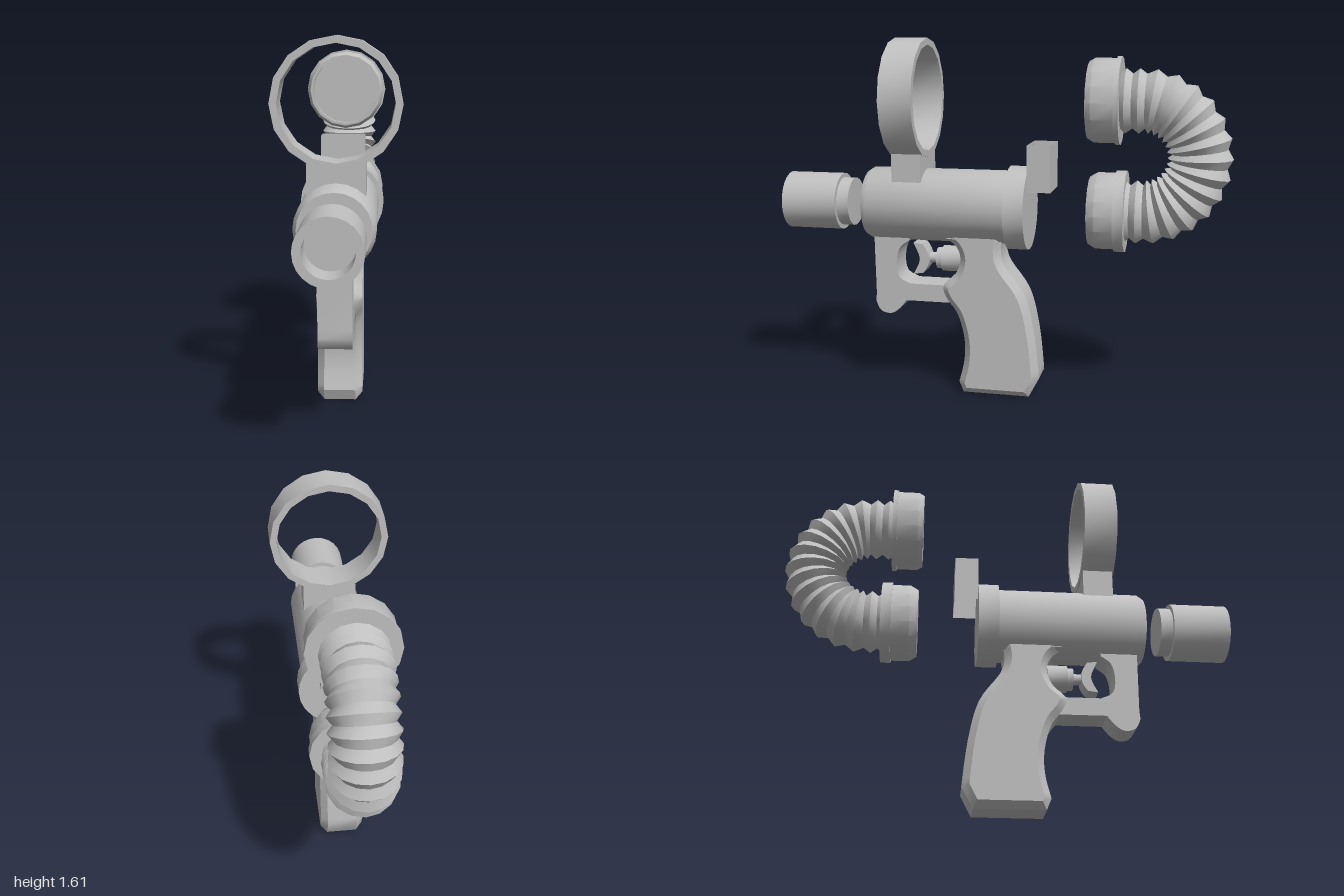
import * as THREE from 'three';
import { toCreasedNormals } from 'three/addons/utils/BufferGeometryUtils.js';

const LOW = 0.86, HIGH = 1.34; // heights of the barrel axis and the ring axis

export function createModel() {
  const model = new THREE.Group();
  const grey = new THREE.MeshStandardMaterial({ color: 0xbfbfbf, side: THREE.DoubleSide });
  grey.name = 'grey';

  const add = (name, geometry) => {
    const mesh = new THREE.Mesh(toCreasedNormals(geometry, 0.6), grey);
    mesh.name = name;
    model.add(mesh);
    return mesh;
  };

  // Turned part along z: profile is [radius, z], from back to front
  const turned = (name, y, profile, sides) => {
    const g = new THREE.LatheGeometry(profile.map(([r, z]) => new THREE.Vector2(r, z)), sides);
    g.rotateX(Math.PI / 2).translate(0, y, 0);
    return add(name, g);
  };

  // Side outline [z, y] extruded across x, with optional chamfer
  const slab = (name, outline, halfWidth, chamfer = 0) => {
    const shape = new THREE.Shape(outline.map(([z, y]) => new THREE.Vector2(z, y)));
    const depth = 2 * (halfWidth - chamfer);
    const g = new THREE.ExtrudeGeometry(shape, {
      depth, bevelEnabled: chamfer > 0, bevelThickness: chamfer,
      bevelSize: chamfer, bevelOffset: -chamfer, bevelSegments: 1,
    });
    g.translate(0, 0, -depth / 2).rotateY(-Math.PI / 2);
    return add(name, g);
  };

  // Four-walled box, open above and below
  const openBox = (name, w, y0, y1, z0, z1) => {
    const g = new THREE.CylinderGeometry(Math.SQRT1_2, Math.SQRT1_2, 1, 4, 1, true);
    g.rotateY(Math.PI / 4).scale(w, y1 - y0, z1 - z0).translate(0, (y0 + y1) / 2, (z0 + z1) / 2);
    return add(name, g);
  };

  // Smooth run of points through a few outline points
  const smooth = (points, n) => new THREE.SplineCurve(points.map(([z, y]) => new THREE.Vector2(z, y)))
    .getPoints(n).map((p) => [p.x, p.y]);

  // Barrel, rear collar and hollow nozzle
  turned('barrel', LOW, [[0, -0.05], [0.165, -0.05], [0.165, 0.59], [0.15, 0.615], [0, 0.615]], 24);
  turned('rearCollar', LOW, [[0, -0.13], [0.187, -0.13], [0.187, -0.04], [0, -0.04]], 24);
  turned('nozzle', LOW, [[0, 0.69], [0.11, 0.69], [0.11, 0.745], [0.13, 0.745], [0.13, 1],
    [0.097, 1], [0.097, 0.87], [0, 0.87]], 24);

  // Ring on its stand, and the block behind the collar
  turned('ring', HIGH, [[0.235, 0.337], [0.265, 0.337], [0.265, 0.485], [0.235, 0.485], [0.235, 0.337]], 16);
  openBox('ringStand', 0.24, 0.975, 1.1, 0.342, 0.476);
  openBox('rearBlock', 0.2, 0.945, 1.15, -0.235, -0.13);

  // Grip
  slab('grip', [
    ...smooth([[-0.02, 0.735], [-0.01, 0.67], [-0.03, 0.6], [-0.12, 0.47], [-0.165, 0.29], [-0.187, 0.09]], 20),
    [-0.14, 0], [0.165, 0],
    ...smooth([[0.185, 0.05], [0.16, 0.155], [0.16, 0.26], [0.19, 0.37], [0.24, 0.44], [0.255, 0.5],
      [0.2, 0.555], [0.175, 0.625], [0.2, 0.69], [0.275, 0.735]], 32),
  ], 0.1, 0.03);

  // Trigger guard
  slab('triggerGuard', [
    [0.58, 0.73], [0.575, 0.45],
    ...smooth([[0.578, 0.41], [0.556, 0.366], [0.51, 0.354], [0.47, 0.375], [0.433, 0.42]], 10),
    [0.2, 0.42], [0.2, 0.5],
    ...smooth([[0.41, 0.5], [0.465, 0.53], [0.476, 0.6], [0.46, 0.665], [0.417, 0.7]], 12),
    [0.417, 0.73],
  ], 0.07);

  // Trigger and its plunger
  slab('trigger', [
    ...smooth([[0.405, 0.685], [0.375, 0.61], [0.405, 0.54]], 8),
    ...smooth([[0.36, 0.545], [0.335, 0.585], [0.335, 0.635], [0.36, 0.68]], 8),
  ], 0.04);
  turned('triggerPlunger', 0.612, [[0, 0.18], [0.06, 0.18], [0.06, 0.27], [0.05, 0.27],
    [0.05, 0.297], [0.025, 0.297], [0.025, 0.345], [0, 0.345]], 14);

  // Hose couplings
  turned('lowerCoupling', LOW, [[0, -0.555], [0.18, -0.555], [0.18, -0.51], [0.17, -0.51],
    [0.17, -0.43], [0.15, -0.395], [0, -0.395]], 16);
  turned('upperCoupling', HIGH, [[0, -0.525], [0.19, -0.525], [0.19, -0.505], [0.182, -0.505],
    [0.182, -0.41], [0.168, -0.385], [0.155, -0.385], [0.155, -0.42], [0, -0.42]], 16);

  // Ribbed hose: zigzag rings along a U-shaped path
  add('ribbedHose', hoseGeometry());
  return model;
}

function hoseGeometry() {
  const R = (HIGH - LOW) / 2, midY = (HIGH + LOW) / 2, bendZ = -0.625;
  const straight = 0.11, arc = Math.PI * R, rings = 34, sides = 16;
  const position = [], index = [];
  for (let i = 0; i <= rings; i++) {
    const s = (i / rings) * (arc + 2 * straight) - straight;
    const a = THREE.MathUtils.clamp(s, 0, arc) / R;
    const lead = Math.max(-s, s - arc, 0);
    const r = i % 2 ? 0.139 : 0.117;
    for (let j = 0; j <= sides; j++) {
      const t = (j / sides) * Math.PI * 2;
      const reach = R + r * Math.cos(t);
      position.push(r * Math.sin(t), midY - reach * Math.cos(a), bendZ + lead - reach * Math.sin(a));
      if (i < rings && j < sides) {
        const p = i * (sides + 1) + j, q = p + sides + 1;
        index.push(p, q, p + 1, p + 1, q, q + 1);
      }
    }
  }
  const g = new THREE.BufferGeometry();
  g.setAttribute('position', new THREE.Float32BufferAttribute(position, 3));
  g.setIndex(index);
  g.computeVertexNormals();
  return g;
}
